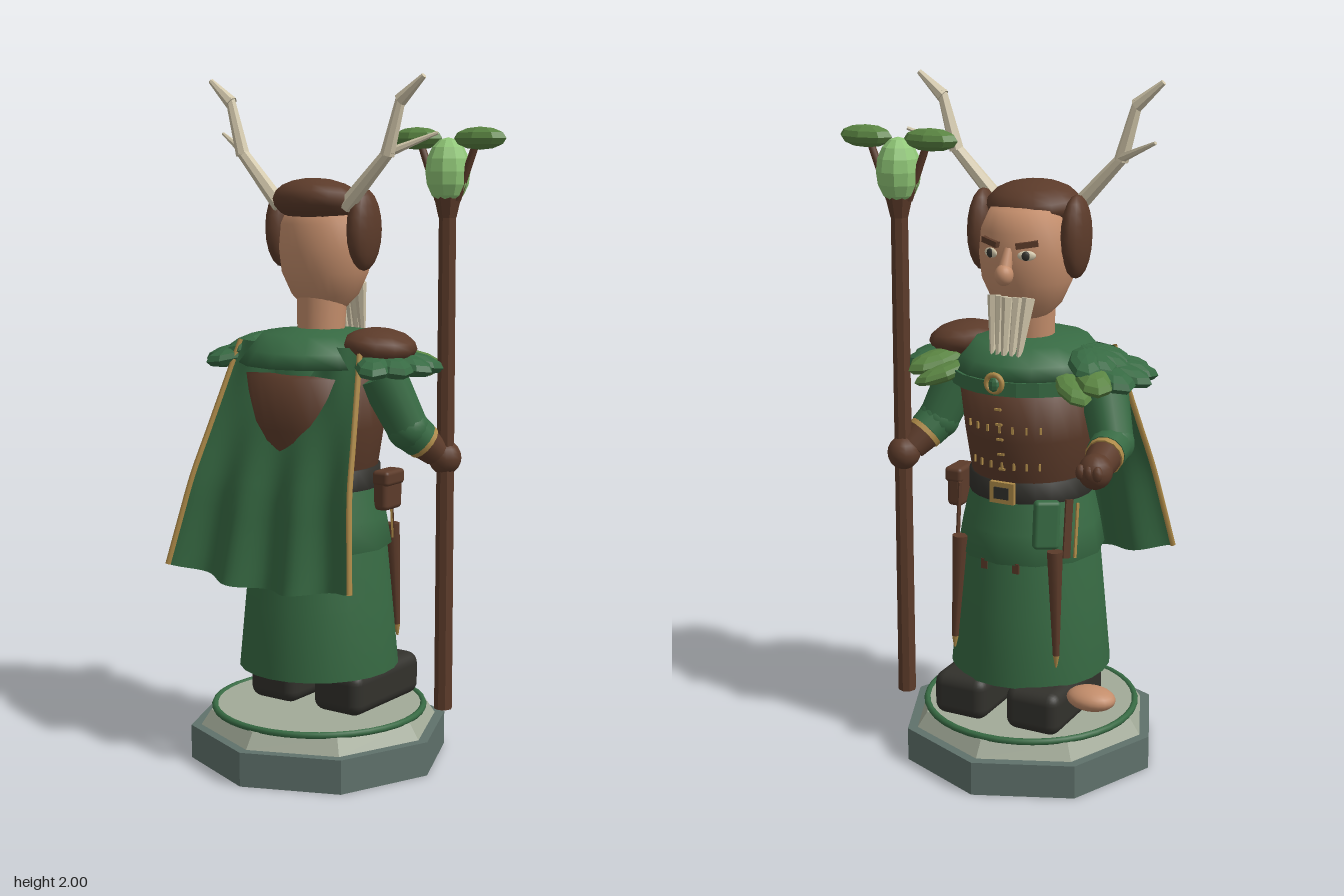
import * as THREE from 'three';
import { RoundedBoxGeometry } from 'three/addons/geometries/RoundedBoxGeometry.js';

const M = {};
for (const [name, color] of Object.entries({
  green: 0x376a43, brown: 0x5c3b2a, skin: 0xc38d6b, leaf: 0x5a8442, crystal: 0x8fc676,
  bone: 0xd3c8ac, dark: 0x32312c, stoneDark: 0x5f716b, stoneLight: 0xa2aa98, gold: 0xae8a48,
})) {
  M[name] = new THREE.MeshStandardMaterial({ color });
  M[name].name = name;
}
M.green.side = THREE.DoubleSide; // open cloth
M.gold.side = THREE.DoubleSide;

const V = (a) => new THREE.Vector3(...a);

function flat(geo) {
  const g = geo.index ? geo.toNonIndexed() : geo;
  g.computeVertexNormals();
  return g;
}

export function createModel() {
  const model = new THREE.Group();
  model.name = 'forestWizard';
  const body = new THREE.Group();
  body.name = 'figure';
  body.position.x = -0.08;
  model.add(body);

  function add(name, geo, mat, pos = [0, 0, 0], rot = [0, 0, 0]) {
    const m = new THREE.Mesh(geo, mat);
    m.name = name;
    m.position.set(...pos);
    m.rotation.set(...rot);
    body.add(m);
    return m;
  }
  // ellipsoid with given half sizes
  function ball(name, mat, pos, half, rot, w = 20, h = 14, faceted = false) {
    const g = new THREE.SphereGeometry(1, w, h).scale(...half);
    return add(name, faceted ? flat(g) : g, mat, pos, rot);
  }
  // tapered rod from a to b
  function rod(name, mat, a, b, ra, rb, seg = 10, faceted = false) {
    const d = V(b).sub(V(a));
    const g = new THREE.CylinderGeometry(rb, ra, d.length(), seg);
    const m = add(name, faceted ? flat(g) : g, mat);
    m.position.copy(V(a)).addScaledVector(d, 0.5);
    m.quaternion.setFromUnitVectors(new THREE.Vector3(0, 1, 0), d.normalize());
    return m;
  }
  function lathe(name, mat, pts, sx = 1, seg = 24) {
    const g = new THREE.LatheGeometry(pts.map((p) => new THREE.Vector2(...p)), seg);
    return add(name, g.scale(sx, 1, 1), mat);
  }
  const box = (name, mat, size, pos, rot) => add(name, new THREE.BoxGeometry(...size), mat, pos, rot);
  const soft = (name, mat, size, r, pos, rot) =>
    add(name, new RoundedBoxGeometry(...size, 3, r), mat, pos, rot);

  // Octagonal pedestal
  add('plinth', flat(new THREE.CylinderGeometry(0.385, 0.385, 0.1, 8)), M.stoneDark, [0, 0.05, 0]);
  add('plinthStep', flat(new THREE.CylinderGeometry(0.325, 0.355, 0.045, 8)), M.stoneLight, [0, 0.1225, 0]);
  add('plinthTop', new THREE.CylinderGeometry(0.305, 0.305, 0.012, 32), M.stoneLight, [0, 0.148, 0]);
  add('plinthRing', new THREE.TorusGeometry(0.312, 0.01, 8, 40), M.green, [0, 0.15, 0], [Math.PI / 2, 0, 0]);

  // Boots
  for (const s of [-1, 1]) {
    soft('boot', M.dark, [0.17, 0.13, 0.34], 0.035, [s * 0.117, 0.22, -0.08]);
    rod('bootShaft', M.dark, [s * 0.117, 0.2, 0], [s * 0.1, 0.4, 0], 0.08, 0.075, 14);
  }
  ball('mushroomCap', M.skin, [-0.27, 0.265, -0.16], [0.073, 0.034, 0.055]);

  // Robe, coat and belt
  lathe('robeSkirt', M.green, [[0, 0.3], [0.225, 0.3], [0.242, 0.28], [0.223, 0.48], [0.2, 0.72], [0.17, 0.84]], 0.97);
  lathe('coatTail', M.green, [[0.19, 0.65], [0.22, 0.645], [0.205, 0.73], [0.18, 0.84]], 0.97, 12);
  lathe('belt', M.dark, [[0.17, 0.82], [0.186, 0.82], [0.186, 0.88], [0.16, 0.88]], 0.97);
  lathe('innerTorso', M.green, [[0.14, 0.85], [0.15, 1.1], [0.13, 1.24], [0, 1.26]]);
  lathe('leatherVest', M.brown, [[0.16, 0.87], [0.18, 0.875], [0.2, 1.0], [0.218, 1.152], [0.1, 1.155]], 0.95);
  lathe('collar', M.green, [[0.15, 1.18], [0.236, 1.18], [0.205, 1.22], [0.165, 1.268], [0.06, 1.28]], 0.98, 14);
  for (let i = 0; i < 9; i++) {
    // front hem of the mantle lying over the chest
    const a = (i - 4) * 0.27;
    if (i < 8) box('mantleHem', M.green, [0.066, 0.04, 0.008],
      [Math.sin(a + 0.135) * 0.225, 1.165, -Math.cos(a + 0.135) * 0.232], [0, -a - 0.135, 0]);
  }

  // Vest stitching, buckle and brooch
  for (let i = -3; i <= 3; i++) {
    const a = i * 0.2;
    for (const [y, r] of [[0.93, 0.191], [1.04, 0.206]])
      box('stitch', M.gold, [0.006, 0.02, 0.006], [Math.sin(a) * r * 0.95, y, -Math.cos(a) * r], [0, -a, 0]);
  }
  for (let i = 0; i < 5; i++) box('centreStitch', M.gold, [0.02, 0.006, 0.006], [0, 0.92 + i * 0.045, -0.191 - i * 0.0062]);
  box('buckle', M.gold, [0.075, 0.062, 0.014], [0, 0.85, -0.187]);
  box('buckleCentre', M.dark, [0.045, 0.034, 0.006], [0, 0.85, -0.195]);
  add('brooch', new THREE.TorusGeometry(0.024, 0.008, 8, 16), M.gold, [0, 1.18, -0.237]);
  ball('broochStone', M.green, [0, 1.175, -0.238], [0.018, 0.022, 0.012], [0, 0, 0], 8, 6, true);

  // Belt hangings
  soft('beltPouch', M.brown, [0.05, 0.11, 0.09], 0.015, [0.2, 0.81, -0.065]);
  soft('beltPouchFlap', M.brown, [0.056, 0.045, 0.095], 0.012, [0.203, 0.85, -0.065]);
  soft('herbPouch', M.green, [0.075, 0.14, 0.035], 0.012, [-0.13, 0.77, -0.172], [0.08, 0.65, 0]);
  for (const s of [-1, 1]) {
    rod('sheath', M.brown, [s * 0.152, 0.69, -0.16], [s * 0.164, 0.38, -0.172], 0.024, 0.01, 8);
    rod('sheathTip', M.gold, [s * 0.164, 0.38, -0.172], [s * 0.165, 0.345, -0.174], 0.01, 0.003, 8);
    box('hangingStrap', M.brown, [0.022, 0.17, 0.008], [s * 0.175, 0.75, -0.125], [0.1, s * -0.9, 0]);
    box('coatTrim', M.gold, [0.008, 0.16, 0.006], [s * 0.19, 0.74, -0.1], [0.1, s * -1.0, 0]);
    box('hemTab', M.brown, [0.02, 0.03, 0.006], [s * 0.05, 0.635, -0.203]);
  }

  // Cape: a sheet hung from the shoulders with folds growing towards the hem
  const capePoint = (u, t) => {
    const bend = t < 0.62 ? 0.105 + (t / 0.62) * 0.13 : 0.235 + ((t - 0.62) / 0.38) * 0.045;
    return new THREE.Vector3(
      u * (0.215 + 0.113 * t),
      1.24 - 0.65 * t - 0.04 * t * Math.cos((u * Math.PI) / 2),
      bend - 0.026 * t * Math.cos(u * Math.PI * 3) + 0.01 * (1 - t) * Math.cos(u * Math.PI * 3),
    );
  };
  const cape = new THREE.PlaneGeometry(1, 1, 36, 14);
  const trim = (side) => new THREE.CatmullRomCurve3(
    [0, 0.2, 0.4, 0.6, 0.8, 1].map((t) => capePoint(side * 0.99, t)));
  for (let i = 0, p = cape.attributes.position; i < p.count; i++) {
    const q = capePoint(p.getX(i) * 2, 0.5 - p.getY(i));
    p.setXYZ(i, q.x, q.y, q.z);
  }
  cape.computeVertexNormals();
  add('cape', cape, M.green);
  for (const s of [-1, 1]) add('capeTrim', new THREE.TubeGeometry(trim(s), 16, 0.009, 6), M.gold);

  // Shoulders
  for (const s of [-1, 1]) {
    for (let i = 0; i < 5; i++) {
      const a = -1.0 + i * 0.5;
      ball('shoulderLeaf', i === 4 && s < 0 || i === 4 ? M.leaf : M.green,
        [s * (0.2 + 0.09 * Math.cos(a)), 1.19, -0.02 - 0.12 * Math.sin(a)],
        [0.09, 0.03, 0.055], [0, s * a, s * -0.2], 8, 6, true);
      if (s < 0) ball('upperShoulderLeaf', M.green,
        [-0.18 - 0.05 * Math.cos(a), 1.225, -0.02 - 0.08 * Math.sin(a)],
        [0.085, 0.028, 0.05], [0, -a, 0.3], 8, 6, true);
    }
    ball('chestLeaf', M.leaf, [s * 0.2, 1.17, -0.16], [0.09, 0.025, 0.045], [0, s * 0.7, s * -0.3], 8, 6, true);
  }
  ball('shoulderGuard', M.brown, [0.215, 1.24, 0], [0.105, 0.05, 0.115], [0, 0, -0.1], 12, 8);

  // Arms: left grips the staff, right reaches forward
  function arm(shoulder, elbow, wrist, hand) {
    rod('upperSleeve', M.green, shoulder, elbow, 0.07, 0.06, 14);
    ball('elbow', M.green, elbow, [0.062, 0.062, 0.062]);
    const mid = V(elbow).lerp(V(wrist), 0.45).toArray();
    const cuff = V(elbow).lerp(V(wrist), 0.58).toArray();
    rod('foreSleeve', M.green, elbow, mid, 0.06, 0.056, 14);
    rod('cuffBand', M.gold, mid, cuff, 0.054, 0.054, 14);
    rod('bracer', M.brown, cuff, wrist, 0.05, 0.042, 14);
    ball('glove', M.brown, hand, [0.048, 0.05, 0.05], [0, 0, 0], 14, 10);
  }
  arm([0.22, 1.16, 0], [0.28, 1.0, -0.05], [0.33, 0.925, -0.125], [0.345, 0.91, -0.145]);
  arm([-0.22, 1.16, 0], [-0.28, 1.0, -0.06], [-0.3, 0.97, -0.21], [-0.307, 0.97, -0.235]);
  for (let i = 0; i < 3; i++)
    ball('knuckle', M.brown, [-0.33 + i * 0.025, 0.975, -0.272], [0.015, 0.022, 0.016], [0, 0, 0], 8, 6);

  // Head
  rod('neck', M.skin, [0, 1.24, -0.01], [0, 1.42, -0.02], 0.068, 0.075, 20);
  lathe('head', M.skin, [[0, 1.325], [0.06, 1.335], [0.1, 1.375], [0.13, 1.44], [0.138, 1.51],
    [0.132, 1.58], [0.105, 1.64], [0, 1.67]], 1, 28).scale.z = 0.93;
  body.children.at(-1).position.z = -0.033;
  ball('hairCap', M.brown, [0, 1.645, 0.005], [0.138, 0.065, 0.118], [-0.12, 0, 0], 16, 10);
  ball('nose', M.skin, [0, 1.472, -0.178], [0.026, 0.03, 0.028]);
  rod('noseBridge', M.skin, [0, 1.54, -0.15], [0, 1.48, -0.175], 0.014, 0.02);
  for (const s of [-1, 1]) {
    ball('sideHair', M.brown, [s * 0.145, 1.565, -0.022], [0.038, 0.117, 0.07], [0, 0, 0], 14, 10);
    ball('eyeWhite', M.bone, [s * 0.055, 1.525, -0.149], [0.026, 0.014, 0.008], [0, s * -0.4, 0], 12, 8);
    ball('iris', M.dark, [s * 0.055, 1.525, -0.155], [0.012, 0.013, 0.006], [0, s * -0.4, 0], 10, 8);
    box('eyebrow', M.brown, [0.062, 0.016, 0.018], [s * 0.055, 1.555, -0.148], [0, s * -0.4, s * 0.15]);
  }
  // Beard of tapering locks
  for (let i = -2; i <= 2; i++)
    rod('beardLock', M.bone, [i * 0.026, 1.405, -0.15 + Math.abs(i) * 0.008],
      [i * 0.02, 1.2 + Math.abs(i) * 0.02, -0.18 + Math.abs(i) * 0.006], 0.02, 0.008, 7, true);

  // Antlers
  for (const s of [-1, 1]) {
    const seg = (a, b, ra, rb) => rod('antler', M.bone, [s * a[0], a[1], a[2]], [s * b[0], b[1], b[2]], ra, rb, 7, true);
    seg([0.115, 1.63, 0.03], [0.265, 1.79, 0.025], 0.024, 0.017);
    seg([0.255, 1.775, 0.025], [0.302, 1.94, 0.025], 0.021, 0.014);
    seg([0.297, 1.925, 0.025], [0.374, 1.99, 0.025], 0.02, 0.008);
    seg([0.25, 1.78, 0.022], [0.38, 1.837, -0.038], 0.014, 0.005);
  }

  // Staff with crystal and leaves
  const sx = 0.35, sz = -0.14;
  rod('staff', M.brown, [sx, 0.16, sz], [sx, 1.62, sz], 0.027, 0.025, 8, true);
  rod('staffHead', M.brown, [sx, 1.6, sz], [sx, 1.67, sz], 0.026, 0.042, 8, true);
  ball('staffCrystal', M.crystal, [sx, 1.73, sz], [0.064, 0.095, 0.064], [0, 0, 0], 10, 8, true);
  for (const s of [-1, 1]) {
    rod('staffTwig', M.brown, [sx + s * 0.03, 1.65, sz], [sx + s * 0.1, 1.83, sz], 0.012, 0.01, 6);
    ball('staffLeaf', M.leaf, [sx + s * 0.104, 1.822, sz], [0.085, 0.032, 0.047], [0, 0, 0], 8, 6, true);
  }
  return model;
}
